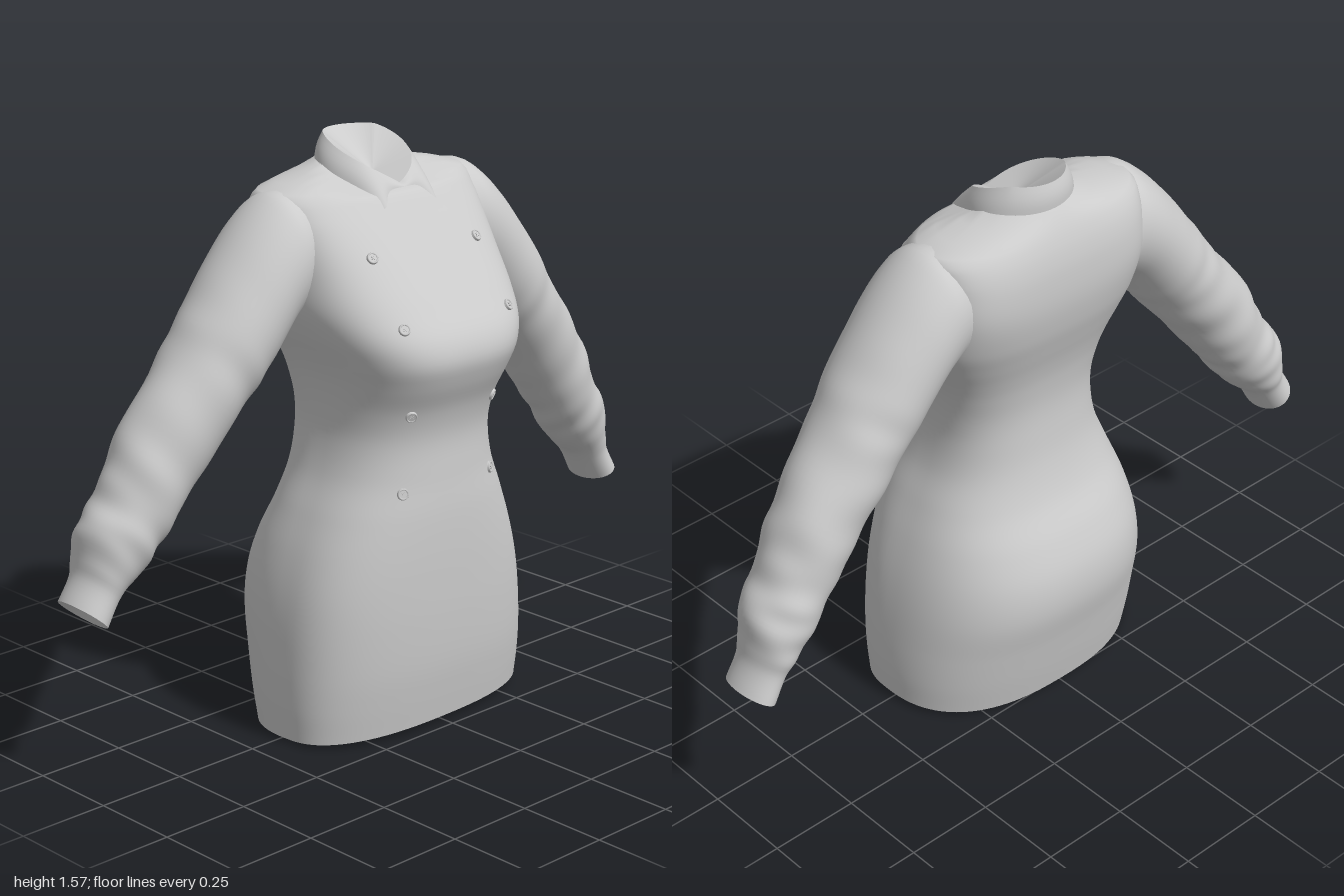
import * as THREE from 'three';

const material = new THREE.MeshStandardMaterial({ color: 0xcccccc, side: THREE.DoubleSide });
const TAU = Math.PI * 2;

// Smooth interpolation of a table whose first column is the key
function keyed(table, k) {
  let i = 0;
  while (i < table.length - 2 && k > table[i + 1][0]) i++;
  const a = table[i], b = table[i + 1];
  const p = table[Math.max(i - 1, 0)], q = table[Math.min(i + 2, table.length - 1)];
  const h = b[0] - a[0], t = THREE.MathUtils.clamp((k - a[0]) / h, 0, 1);
  const t2 = t * t, t3 = t2 * t;
  return a.map((v, c) => {
    const m0 = (b[c] - p[c]) / (b[0] - p[0]) * h;
    const m1 = (q[c] - v) / (q[0] - a[0]) * h;
    return (2 * t3 - 3 * t2 + 1) * v + (t3 - 2 * t2 + t) * m0 + (3 * t2 - 2 * t3) * b[c] + (t3 - t2) * m1;
  });
}

// Skin over closed rings of points
function loft(rings) {
  const n = rings[0].length, index = [];
  for (let r = 0; r < rings.length - 1; r++) {
    for (let i = 0; i < n; i++) {
      const j = (i + 1) % n, a = r * n + i, b = r * n + j;
      index.push(a, b, b + n, a, b + n, a + n);
    }
  }
  const g = new THREE.BufferGeometry().setFromPoints(rings.flat());
  g.setIndex(index);
  g.computeVertexNormals();
  return g;
}

// Shallow faceted cone that closes an opening from inside
function lining(ring, apex) {
  const pts = [];
  ring.forEach((p, i) => pts.push(p, ring[(i + 1) % ring.length], apex));
  const g = new THREE.BufferGeometry().setFromPoints(pts);
  g.computeVertexNormals();
  return g;
}

function add(group, name, geometry) {
  const mesh = new THREE.Mesh(geometry, material);
  mesh.name = name;
  group.add(mesh);
  return mesh;
}

// Body sections: height, half width, front z, back z, widest z, front squareness
const BODY = [
  [0.01, 0.398, 0.228, -0.258, 0.03, 2.5],
  [0.10, 0.403, 0.242, -0.28, 0.03, 2.5],
  [0.20, 0.401, 0.255, -0.302, 0.03, 2.5],
  [0.32, 0.391, 0.263, -0.327, 0.03, 2.5],
  [0.42, 0.374, 0.266, -0.322, 0.03, 2.5],
  [0.52, 0.346, 0.267, -0.287, 0.025, 2.5],
  [0.62, 0.308, 0.265, -0.235, 0.02, 2.5],
  [0.72, 0.268, 0.258, -0.205, 0.015, 2.5],
  [0.82, 0.249, 0.256, -0.192, 0.01, 2.6],
  [0.90, 0.252, 0.275, -0.19, 0.01, 2.7],
  [0.98, 0.266, 0.312, -0.2, 0, 2.9],
  [1.04, 0.286, 0.33, -0.215, -0.01, 3],
  [1.10, 0.311, 0.316, -0.235, -0.03, 3],
  [1.17, 0.331, 0.268, -0.257, -0.06, 3],
  [1.26, 0.335, 0.2, -0.273, -0.08, 3],
  [1.35, 0.335, 0.13, -0.273, -0.09, 3],
  [1.41, 0.337, 0.083, -0.263, -0.1, 2.8],
  [1.455, 0.327, 0.05, -0.247, -0.1, 2.3],
  [1.475, 0.248, 0.033, -0.236, -0.1, 2.1],
  [1.492, 0.168, 0.017, -0.225, -0.095, 2],
  [1.515, 0.118, 0, -0.205, -0.09, 2],
];

// The waist leans slightly to the right
const leanX = (y) => -0.003 - 0.014 * Math.exp(-(((y - 0.6) / 0.4) ** 2));

function bodyRing(y) {
  const [, w, zf, zb, zc, nf] = keyed(BODY, y);
  const hem = Math.max(0, 1 - y / 0.15);
  // the back is squarer around the shoulder blades
  const nb = nf + 0.6 * Math.exp(-(((y - 1.3) / 0.1) ** 2));
  return Array.from({ length: 96 }, (_, i) => {
    const c = Math.cos(i / 96 * TAU), s = Math.sin(i / 96 * TAU), n = s > 0 ? nf : nb;
    const x = leanX(y) + w * Math.sign(c) * Math.abs(c) ** (2 / n);
    const z = zc + Math.sign(s) * (s > 0 ? zf - zc : zc - zb) * Math.abs(s) ** (2 / n);
    // slanted neckline and slightly tilted hem
    const top = 1.442 + (0.045 - z) * 0.4;
    return new THREE.Vector3(x, Math.min(y, top) + hem * (0.002 + 0.04 * z + 0.014 * x), z);
  });
}

function frontZ(x, y) {
  const [, w, zf, , zc, n] = keyed(BODY, y);
  const u = Math.min(1, Math.abs(x - leanX(y)) / w);
  return zc + (zf - zc) * (1 - u ** n) ** (1 / n);
}

// Sleeve sections: step, outer x y, inner x y, centre z, half depth
const SLEEVE = [
  [0, 0.29, 1.462, 0.295, 1.14, -0.09, 0.142],
  [0.4, 0.35, 1.452, 0.31, 1.13, -0.088, 0.15],
  [1, 0.44, 1.375, 0.335, 1.11, -0.087, 0.152],
  [2, 0.575, 1.21, 0.405, 1.02, -0.085, 0.147],
  [3, 0.67, 1.075, 0.49, 0.92, -0.09, 0.135],
  [4, 0.805, 0.9, 0.625, 0.755, -0.1, 0.12],
  [5, 0.875, 0.755, 0.72, 0.635, -0.105, 0.111],
  [6, 0.94, 0.655, 0.79, 0.545, -0.113, 0.104],
  [6.6, 0.953, 0.57, 0.845, 0.5, -0.117, 0.092],
  [7, 0.962, 0.52, 0.872, 0.467, -0.117, 0.082],
  [7.6, 0.998, 0.45, 0.91, 0.403, -0.117, 0.084],
];

function sleeveRing(t, side) {
  const [, ox, oy, ix, iy, zc, hz] = keyed(SLEEVE, t);
  const lift = side < 0 ? 0.043 * (t / 7.6) ** 2 : 0;
  const fold = 0.02 * THREE.MathUtils.smoothstep(t, 0.6, 4.5) * (1 - THREE.MathUtils.smoothstep(t, 6.3, 7));
  return Array.from({ length: 40 }, (_, i) => {
    const a = i / 40 * TAU;
    // soft diagonal creases that fade in and out around the arm
    const k = 1 + fold * (Math.sin(t * 5.3 + 3 * Math.sin(a + 0.5)) + Math.sin(t * 8.7 - 2 * a) * Math.sin(a + t));
    const c = Math.cos(a) * k / 2;
    return new THREE.Vector3(
      side * ((ox + ix) / 2 + (ox - ix) * c),
      (oy + iy) / 2 + (oy - iy) * c + lift * (1 + 0.4 * Math.cos(a)),
      zc + hz * Math.sin(a) * k);
  });
}

// Collar: V-shaped rim down to a falling edge with two front points
function collarRing(v) {
  return Array.from({ length: 96 }, (_, i) => {
    const a = (i / 96 - 0.5) * TAU, c = Math.cos(a), s = Math.sin(a);
    const rimY = 1.573 - 0.117 * Math.max(0, 1 - Math.abs(a) / 2.2) ** 1.2;
    const point = Math.exp(-(((Math.abs(a) - 0.75) / 0.26) ** 2));
    const edgeY = 1.503 - 0.055 * THREE.MathUtils.smoothstep(c, -0.6, 1) - 0.045 * point;
    const bulge = 0.005 * Math.sin(v * Math.PI);
    const r = 0.112 + 0.03 * v + bulge;
    const depth = 0.122 + (c > 0 ? 0.02 : 0.012) * v + bulge;
    return new THREE.Vector3(r * s, rimY + (edgeY - rimY) * v, -0.08 + depth * c + 0.058 * point * v);
  });
}

export function createModel() {
  const model = new THREE.Group();
  model.name = 'jacketDress';

  // Fitted body with closed hem
  const bodyRings = Array.from({ length: 101 }, (_, i) => bodyRing(0.01 + 1.505 * i / 100));
  add(model, 'body', loft(bodyRings));
  add(model, 'hemLining', lining(bodyRings[0], new THREE.Vector3(0, 0.17, 0)));

  // Sleeves
  for (const side of [1, -1]) {
    const name = side > 0 ? 'left' : 'right';
    const rings = Array.from({ length: 77 }, (_, i) => sleeveRing(i / 10, side));
    add(model, name + 'Sleeve', loft(rings));
    add(model, name + 'CuffLining', lining(rings[76],
      new THREE.Vector3(side * 0.935, side > 0 ? 0.455 : 0.498, -0.117)));
  }

  // Collar and neck lining
  add(model, 'collar', loft([0, 0.2, 0.4, 0.6, 0.8, 1].map(collarRing)));
  add(model, 'neckLining', lining(collarRing(0), new THREE.Vector3(0, 1.47, -0.06)));

  // Double row of buttons, each a rim with a small crossed stitch
  const rows = [[1.305, -0.2, 0.17], [1.14, -0.2, 0.17], [0.9, -0.16, 0.135], [0.69, -0.175, 0.15]];
  const disc = new THREE.CylinderGeometry(0.015, 0.016, 0.005, 20).rotateX(Math.PI / 2);
  const rim = new THREE.TorusGeometry(0.013, 0.0025, 6, 20).translate(0, 0, 0.002);
  const stitch = new THREE.BoxGeometry(0.012, 0.003, 0.003).translate(0, 0, 0.003);
  for (const [y, ...xs] of rows) {
    for (const x of xs) {
      const button = new THREE.Group();
      button.name = 'button';
      add(button, 'buttonDisc', disc);
      add(button, 'buttonRim', rim);
      add(button, 'buttonStitch', stitch).rotation.z = Math.PI / 4;
      add(button, 'buttonStitch', stitch).rotation.z = -Math.PI / 4;
      const e = 0.01, z = frontZ(x, y);
      const normal = new THREE.Vector3(
        (frontZ(x - e, y) - frontZ(x + e, y)) / (2 * e),
        (frontZ(x, y - e) - frontZ(x, y + e)) / (2 * e), 1).normalize();
      button.position.set(x, y, z).addScaledVector(normal, 0.003);
      button.quaternion.setFromUnitVectors(new THREE.Vector3(0, 0, 1), normal);
      model.add(button);
    }
  }
  return model;
}
